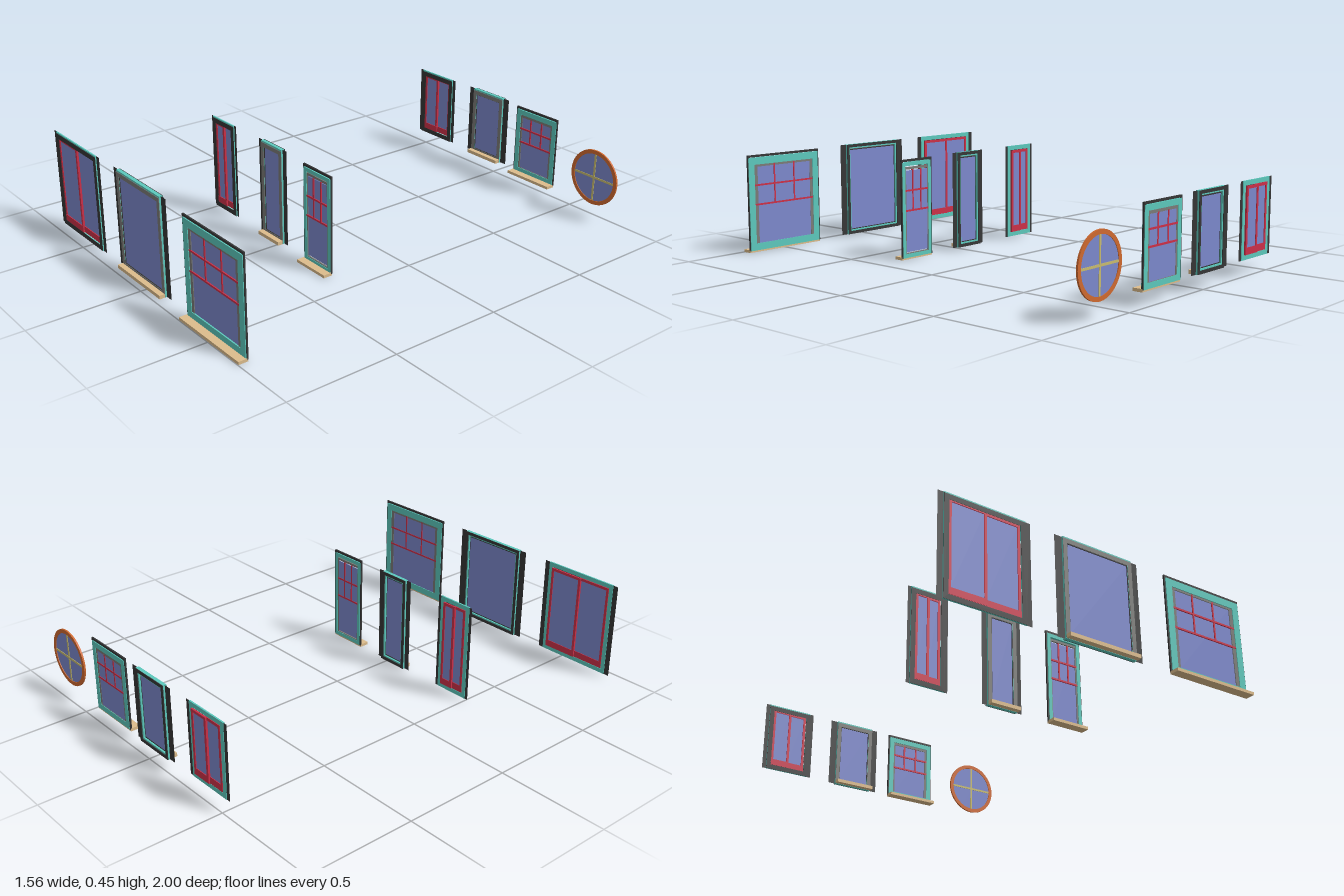
import * as THREE from 'three';

const mat = (color) => new THREE.MeshStandardMaterial({ color, side: THREE.DoubleSide, flatShading: true });
const TEAL = mat(0x5cc8bc), DARK = mat(0x363636), GREY = mat(0x7b7b78), RED = mat(0xcc3048);
const GLASS = mat(0x7c88cc), TAN = mat(0xdcbc8c), ORANGE = mat(0xd06a30), YELLOW = mat(0xc8bc70);

function add(group, name, geometry, material) {
  const mesh = new THREE.Mesh(geometry, material);
  mesh.name = name;
  group.add(mesh);
  return mesh;
}

// box given by its limits
function box(group, name, x0, x1, y0, y1, z0, z1, material) {
  const g = new THREE.BoxGeometry(x1 - x0, y1 - y0, z1 - z0);
  g.translate((x0 + x1) / 2, (y0 + y1) / 2, (z0 + z1) / 2);
  return add(group, name, g, material);
}

// rectangular frame of member width w
function frame(group, name, x0, x1, y0, y1, w, z0, z1, material) {
  const rect = (C, a, b, c, d) => {
    const p = new C();
    p.moveTo(a, c); p.lineTo(b, c); p.lineTo(b, d); p.lineTo(a, d); p.closePath();
    return p;
  };
  const s = rect(THREE.Shape, x0, x1, y0, y1);
  s.holes.push(rect(THREE.Path, x0 + w, x1 - w, y0 + w, y1 - w));
  const g = new THREE.ExtrudeGeometry(s, { depth: z1 - z0, bevelEnabled: false });
  g.translate(0, 0, z0);
  return add(group, name, g, material);
}

// flat vertical trim strips on both outer edges
function jambs(group, x0, x1, y0, y1, w, z) {
  for (const x of [x0 + w / 2, x1 - w / 2]) {
    const g = new THREE.PlaneGeometry(w, y1 - y0);
    g.translate(x, (y0 + y1) / 2, z);
    add(group, 'jambTrim', g, DARK);
  }
}

// sliding window: two red sashes side by side
function slidingWindow(x0, x1, y0, y1, z) {
  const g = new THREE.Group();
  g.name = 'slidingWindow';
  const j = Math.min(0.025, (x1 - x0) * 0.075);
  const a = x0 + j, b = x1 - j, m = (a + b) / 2;
  jambs(g, x0, x1, y0, y1, j, z - 0.006);
  frame(g, 'outerFrame', a, b, y0, y1, 0.02, z - 0.008, z - 0.001, TEAL);
  frame(g, 'frontFrame', a, b, y0, y1 - 0.006, 0.022, z - 0.001, z, DARK);
  const sash = (s0, s1, zb, name) => {
    frame(g, name, s0, s1, y0 + 0.022, y1 - 0.022, 0.012, zb - 0.005, zb + 0.003, RED);
    box(g, 'bottomRail', s0, s1, y0 + 0.024, y0 + 0.052, zb - 0.005, zb + 0.004, RED);
    box(g, 'glass', s0 + 0.01, s1 - 0.01, y0 + 0.05, y1 - 0.032, zb - 0.002, zb, GLASS);
  };
  sash(a + 0.021, m + 0.006, z - 0.004, 'leftSash');
  sash(m - 0.006, b - 0.021, z - 0.01, 'rightSash');
  return g;
}

// fixed window: one large pane above a sill
function fixedWindow(x0, x1, y0, y1, z) {
  const g = new THREE.Group();
  g.name = 'fixedWindow';
  const j = Math.min(0.035, (x1 - x0) * 0.13);
  const a = x0 + j, b = x1 - j;
  jambs(g, x0, x1, y0, y1, j, z - 0.01);
  frame(g, 'outerFrame', a, b, y0, y1, 0.02, z - 0.018, z - 0.002, TEAL);
  frame(g, 'backTrim', a, b, y0, y1, 0.014, z - 0.021, z - 0.018, DARK);
  frame(g, 'innerFrame', a, b, y0 + 0.004, y1 - 0.007, 0.019, z - 0.002, z, GREY);
  frame(g, 'glassStop', a + 0.018, b - 0.018, y0 + 0.02, y1 - 0.024, 0.004, z - 0.01, z - 0.003, DARK);
  box(g, 'glass', a + 0.019, b - 0.019, y0 + 0.02, y1 - 0.025, z - 0.009, z - 0.006, GLASS);
  box(g, 'sill', a, b, y0, y0 + 0.016, z, z + 0.024, TAN);
  return g;
}

// hung window: upper sash divided by muntins
function hungWindow(x0, x1, y0, y1, z) {
  const g = new THREE.Group();
  g.name = 'hungWindow';
  const k = Math.min(1, (x1 - x0) / 0.35), h = y1 - y0;
  const s0 = x0 + 0.036 * k, s1 = x1 - 0.036 * k, t0 = y0 + 0.018, t1 = y1 - 0.034;
  frame(g, 'outerTrim', x0, x1, y0 + 0.008, y1, 0.01, z - 0.01, z - 0.003, DARK);
  frame(g, 'casing', x0 + 0.006, x1 - 0.004, y0 + 0.008, y1 - 0.012, 0.032 * k, z - 0.012, z, TEAL);
  frame(g, 'sashFrame', s0 - 0.002, s1 + 0.002, t0, t1, 0.02 * k, z - 0.01, z - 0.003, GREY);
  box(g, 'glass', s0 + 0.015 * k, s1 - 0.015 * k, t0 + 0.015, t1 - 0.015, z - 0.009, z - 0.006, GLASS);
  // muntins
  const mid = y0 + 0.49 * h, top = y0 + 0.69 * h;
  for (const y of [mid, top]) box(g, 'crossBar', s0, s1, y - 0.004, y + 0.004, z - 0.011, z - 0.001, RED);
  for (const f of [1 / 3, 2 / 3]) {
    const x = s0 + (s1 - s0) * f;
    box(g, 'uprightBar', x - 0.0035, x + 0.0035, mid, t1 - 0.012, z - 0.011, z - 0.002, RED);
  }
  box(g, 'sill', x0, x1, y0, y0 + 0.013, z - 0.008, z + 0.035, TAN);
  return g;
}

// round window: ring, pane and crossed bars
function roundWindow(x, y, r, z) {
  const g = new THREE.Group();
  g.name = 'roundWindow';
  const s = new THREE.Shape().absarc(0, 0, r, 0, Math.PI * 2);
  s.holes.push(new THREE.Path().absarc(0, 0, r - 0.018, 0, Math.PI * 2, true));
  const ring = new THREE.ExtrudeGeometry(s, { depth: 0.008, bevelEnabled: false, curveSegments: 24 });
  ring.translate(0, 0, -0.004);
  add(g, 'ringFrame', ring, ORANGE);
  const pane = new THREE.CylinderGeometry(r - 0.015, r - 0.015, 0.002, 24);
  pane.rotateX(Math.PI / 2);
  add(g, 'glass', pane, GLASS);
  const l = r - 0.017;
  box(g, 'crossBar', -l, l, -0.005, 0.005, -0.003, 0.003, YELLOW);
  box(g, 'uprightBar', -0.005, 0.005, -l, l, -0.003, 0.003, YELLOW);
  g.position.set(x, y, z);
  return g;
}

export function createModel() {
  const model = new THREE.Group();
  model.name = 'windowSet';
  // each row: depth, vertical limits, then x limits of the three windows
  const rows = [
    { z: 0.963, y0: 0, y1: 0.445, a: [-0.78, -0.37], b: [-0.253, 0.157], c: [0.293, 0.703] },
    { z: 0.317, y0: 0, y1: 0.445, a: [-0.515, -0.32], b: [-0.148, 0.052], c: [0.185, 0.37] },
    { z: -0.98, y0: 0.056, y1: 0.393, a: [-0.54, -0.285], b: [-0.182, 0.082], c: [0.148, 0.403] },
  ];
  for (const { z, y0, y1, a, b, c } of rows) {
    model.add(slidingWindow(...a, y0 + 0.01, y1 + 0.005, z - 0.004));
    model.add(fixedWindow(...b, y0 + 0.01, y1 + 0.005, z - 0.004));
    model.add(hungWindow(...c, y0, y1, z));
  }
  model.add(roundWindow(0.65, 0.195, 0.13, -0.974));
  return model;
}
